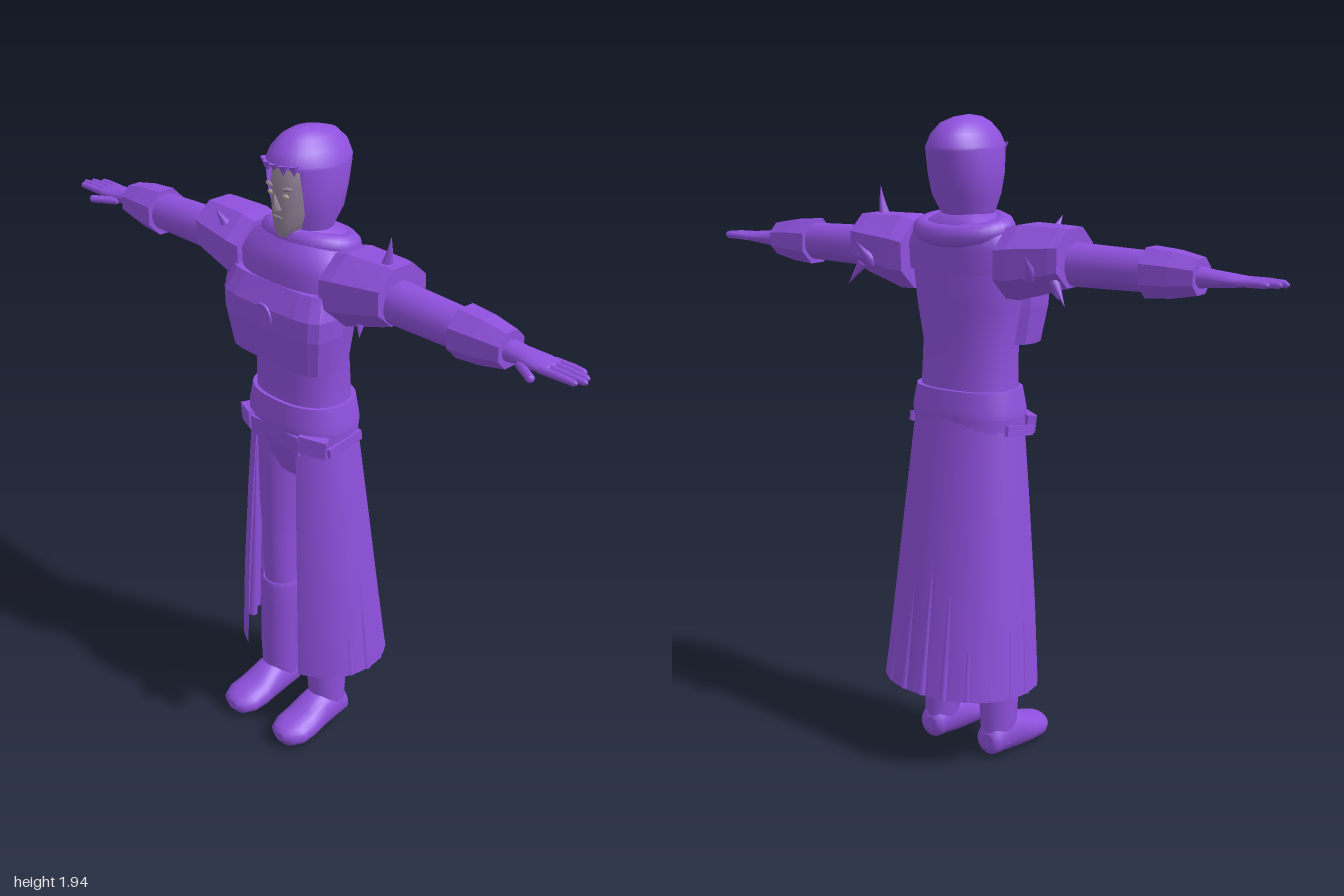
import * as THREE from 'three';

const mat = (name, color, side = THREE.DoubleSide) => {
  const m = new THREE.MeshStandardMaterial({ color, side });
  m.name = name;
  return m;
};

// Loft of oval sections [y, rx, rz, cx, cz, frontGapHalfWidth] stacked along y.
function loft(sections, { n = 24, power = 1, flat = false, caps = true, turn = 0, pleat = 0 } = {}) {
  const pos = [], idx = [];
  const bend = v => Math.sign(v) * Math.abs(v) ** power;
  const ring = ([y, rx, rz, cx = 0, cz = 0, gap = 0], k) => {
    const g = gap ? Math.asin(Math.min(1, gap / rx)) : 0;
    for (let j = 0; j <= n; j++) {
      const a = Math.PI / 2 + g + turn + (j / n) * (Math.PI * 2 - 2 * g);
      const s = 1 + pleat * k * Math.cos(a * 18);
      pos.push(cx + rx * s * bend(Math.cos(a)), y, cz + rz * s * bend(Math.sin(a)));
    }
  };
  const last = sections.length - 1;
  sections.forEach((s, i) => ring(s, i / last));
  for (let i = 0; i < last; i++) for (let j = 0; j < n; j++) {
    const a = i * (n + 1) + j, b = a + 1, c = a + n + 1, d = c + 1;
    idx.push(a, c, b, b, c, d);
  }
  if (caps) for (const i of [0, last]) {
    const start = pos.length / 3, s = sections[i];
    ring(s, i / last);
    pos.push(s[3] || 0, s[0], s[4] || 0);
    for (let j = 0; j < n; j++) {
      if (i) idx.push(start + j, start + n + 1, start + j + 1);
      else idx.push(start + j, start + j + 1, start + n + 1);
    }
  }
  let g = new THREE.BufferGeometry();
  g.setAttribute('position', new THREE.Float32BufferAttribute(pos, 3));
  g.setIndex(idx);
  if (flat) {
    g = g.toNonIndexed();
    g.setIndex([...Array(g.attributes.position.count).keys()]);
  }
  g.computeVertexNormals();
  // Blend the normals across the seam of closed smooth rings.
  if (!flat) {
    const N = g.attributes.normal;
    sections.forEach((s, i) => {
      if (s[5]) return;
      const a = i * (n + 1), b = a + n;
      const v = new THREE.Vector3().fromBufferAttribute(N, a).add(new THREE.Vector3().fromBufferAttribute(N, b)).normalize();
      N.setXYZ(a, v.x, v.y, v.z);
      N.setXYZ(b, v.x, v.y, v.z);
    });
  }
  return g;
}

// Lofts along x [x, ry, rz, cy, cz] and along z [z, rx, ry, cx, cy].
const loftX = (s, o) => loft(s.map(([x, ry, rz, cy, cz]) => [x, ry, rz, -cy, cz]), o).rotateZ(-Math.PI / 2);
const loftZ = (s, o) => loft(s.map(([z, rx, ry, cx, cy]) => [z, rx, ry, cx, -cy]), o).rotateX(Math.PI / 2);

// Curved horn from base to tip.
function spike(base, tip, r, curve = 0) {
  const a = new THREE.Vector3(...base), d = new THREE.Vector3(...tip).sub(a), h = d.length();
  const g = new THREE.ConeGeometry(r, h, 8, 5).translate(0, h / 2, 0);
  const p = g.attributes.position;
  for (let i = 0; i < p.count; i++) {
    const t = p.getY(i) / h;
    p.setX(i, p.getX(i) + curve * t * (1 - t));
  }
  g.computeVertexNormals();
  g.applyQuaternion(new THREE.Quaternion().setFromUnitVectors(new THREE.Vector3(0, 1, 0), d.normalize()));
  return g.translate(a.x, a.y, a.z);
}

function mirrored(geo) {
  const g = geo.clone().scale(-1, 1, 1), i = g.index.array;
  for (let k = 0; k < i.length; k += 3) [i[k], i[k + 1]] = [i[k + 1], i[k]];
  return g;
}

export function createModel() {
  const model = new THREE.Group();
  const purple = mat('purple cloth and armour', 0x8e50dc);
  const skin = mat('grey skin', 0x8f8094);
  const eyeMat = mat('pale eyes', 0xb0a296);
  const add = (name, geo, m = purple) => {
    const mesh = new THREE.Mesh(geo, m);
    mesh.name = name;
    model.add(mesh);
  };
  const pair = (name, geo, m) => {
    add('left' + name, geo, m);
    add('right' + name, mirrored(geo), m);
  };

  // Torso, chest armour and mantle
  add('torso', loft([[1.06, .16, .115, 0, .015], [1.16, .152, .108, 0, .015], [1.29, .15, .103, 0, .02],
    [1.4, .17, .108, 0, .018], [1.5, .185, .112, 0, .02], [1.58, .18, .1, 0, .015], [1.64, .1, .08]], { n: 32, power: .85 }));
  add('chestPlate', loft([[1.29, .182, .068, 0, .088], [1.4, .2, .078, 0, .096], [1.46, .203, .078, 0, .096],
    [1.525, .185, .055, 0, .085]], { n: 16, power: .55, flat: true }));
  add('medallion', new THREE.CylinderGeometry(.037, .037, .008, 24).rotateX(Math.PI / 2).translate(0, 1.435, .175));
  add('mantle', loft([[1.5, .2, .118, 0, .02], [1.57, .205, .12, 0, .018], [1.615, .175, .11, 0, .01],
    [1.65, .11, .09, 0, 0], [1.67, .075, .07, 0, .01]], { n: 32, power: .85 }));
  add('cowlRoll', new THREE.TorusGeometry(.105, .032, 10, 32).rotateX(Math.PI / 2).scale(1.2, 1, .85)
    .rotateX(-.2).translate(0, 1.625, -.015));
  add('collar', new THREE.TorusGeometry(.055, .014, 8, 24).rotateX(Math.PI / 2).translate(0, 1.66, .03));

  // Head and face
  add('face', loft([[1.65, .02, .025, 0, .08], [1.672, .042, .048, 0, .065], [1.7, .056, .064, 0, .05],
    [1.74, .066, .075, 0, .04], [1.8, .07, .08, 0, .035], [1.86, .066, .07, 0, .03], [1.9, .035, .04, 0, .02]]), skin);
  add('neck', new THREE.CylinderGeometry(.045, .05, .1, 16).translate(0, 1.65, .02), skin);
  add('nose', new THREE.ConeGeometry(.016, .05, 4).rotateX(.25).translate(0, 1.755, .118), skin);
  add('mouth', new THREE.SphereGeometry(1, 12, 6).scale(.02, .006, .006).translate(0, 1.708, .112), skin);
  pair('Brow', new THREE.SphereGeometry(1, 12, 6).scale(.022, .006, .01).rotateZ(.15).translate(.03, 1.792, .106), skin);
  pair('Eye', new THREE.SphereGeometry(1, 12, 8).scale(.012, .007, .006).translate(.029, 1.772, .109), eyeMat);

  // Hood, open around the face, with a ragged brow
  add('hood', loft([[1.63, .075, .07, 0, 0, .03], [1.67, .082, .075, 0, .005, .045], [1.72, .1, .1, 0, -.002, .066],
    [1.78, .108, .115, 0, -.003, .07], [1.845, .104, .132, 0, -.006, .068], [1.855, .102, .135, 0, -.005],
    [1.89, .085, .122, 0, -.006], [1.92, .06, .092, 0, -.005], [1.936, .032, .05, 0, .005], [1.942, .002, .003, 0, .01]],
  { n: 40, caps: false }));
  for (const x of [-.055, -.03, 0, .03, .055]) {
    const z = -.004 + .132 * Math.sqrt(1 - (x / .102) ** 2);
    add('hoodPoint', spike([x, 1.862, z - .004], [x * 1.05, x ? 1.832 : 1.842, z - .004], .015));
  }

  // Belts, pouches and open-fronted skirt
  add('belt', loft([[1.08, .178, .127, 0, .014], [1.1, .177, .128, 0, .014], [1.16, .165, .12, 0, .014]], { n: 32, power: .85 }));
  add('lowerBelt', loft([[1.035, .174, .124, 0, .012], [1.085, .176, .125, 0, .012]], { n: 32, power: .85 }));
  pair('Pouch', new THREE.BoxGeometry(.085, .055, .03).rotateY(.45).rotateZ(-.12).translate(.135, 1.05, .107));
  pair('HipStrap', new THREE.BoxGeometry(.012, .03, .13).rotateX(.15).translate(.176, 1.04, .02));
  add('frontFlap', new THREE.ExtrudeGeometry(new THREE.Shape([[-.1, 1.07], [-.1, 1.01], [0, 1.04], [.1, 1.01], [.1, 1.07]]
    .map(p => new THREE.Vector2(...p))), { depth: .01, bevelEnabled: false }).translate(0, 0, .125));
  add('skirt', loft([[1.08, .172, .124, 0, .012, .07], [1, .18, .132, 0, .01, .08], [.8, .198, .152, 0, .002, .09],
    [.5, .224, .178, 0, -.012, .102], [.25, .243, .198, 0, -.028, .108]].reverse(), { n: 144, caps: false, power: .92 }));
  // Raised hem folds around the skirt
  for (let i = 0; i < 13; i++) {
    const a = Math.PI * (.9 + i * 1.2 / 12), c = Math.cos(a), s = Math.sin(a);
    add('skirtFold', spike([.236 * c, .25, -.028 + .193 * s], [.182 * c, .95, .008 + .13 * s], .014));
  }
  add('pelvis', loft([[.9, .12, .07, 0, .01], [.96, .145, .095, 0, .012], [1.07, .155, .11, 0, .014]]));

  // Legs and boots
  pair('Leg', loft([[.42, .058, .06, .088, .02], [.6, .058, .064, .093, .02], [.75, .068, .075, .09, .018],
    [.9, .078, .085, .082, .015], [1, .08, .09, .08, .012]]));
  pair('Boot', loft([[.05, .05, .055, .11, .015], [.12, .055, .06, .108, .02], [.22, .062, .064, .106, .02],
    [.34, .067, .07, .097, .018], [.45, .064, .07, .09, .02], [.465, .06, .066, .09, .02]]));
  pair('Foot', loftZ([[-.042, .022, .022, .11, .06], [-.033, .044, .045, .11, .062], [.01, .054, .066, .11, .078],
    [.07, .06, .068, .11, .072], [.13, .067, .05, .111, .053], [.18, .067, .042, .112, .046],
    [.215, .05, .033, .112, .044], [.23, .02, .015, .112, .044]]));

  // Arms with faceted pauldrons and bracers
  const armour = { n: 8, flat: true, turn: Math.PI / 8 };
  pair('UpperArm', loftX([[.15, .07, .07, 1.54, .015], [.36, .062, .062, 1.542, .015], [.62, .056, .056, 1.54, .02]]));
  pair('Pauldron', loftX([[.165, .108, .118, 1.535, .008], [.21, .115, .122, 1.54, .008],
    [.34, .094, .106, 1.558, .005], [.368, .088, .1, 1.562, .005]], armour));
  pair('Bracer', loftX([[.6, .074, .074, 1.54, .02], [.68, .068, .066, 1.54, .02], [.755, .053, .054, 1.54, .02]], armour));
  pair('Palm', loftX([[.73, .032, .036, 1.538, .02], [.79, .024, .034, 1.537, .02], [.84, .019, .042, 1.537, .02],
    [.885, .014, .042, 1.537, .02], [.895, .006, .036, 1.537, .02]]));
  [.965, .99, 1, .985].forEach((tip, i) => {
    const z = -.012 + i * .0215;
    pair('Finger', loftX([[.87, .011, .011, 1.537, z], [.93, .0105, .0105, 1.538, z], [tip - .008, .009, .009, 1.537, z],
      [tip, .003, .003, 1.537, z]], { n: 10 }));
  });
  const thumb = new THREE.CapsuleGeometry(.012, .075, 4, 10);
  thumb.rotateZ(-Math.PI / 2).rotateY(-.55).translate(.842, 1.527, .072);
  pair('Thumb', thumb);

  // Pauldron horns: a tall one on the left, shorter ones elsewhere
  add('leftTopSpike', spike([.32, 1.63, .02], [.342, 1.725, .025], .018, .015));
  add('rightFrontSpike', spike([-.245, 1.62, .09], [-.255, 1.665, .115], .014));
  pair('BackSpike', spike([.28, 1.51, -.085], [.3, 1.575, -.142], .02, .02));
  pair('LowerSpike', spike([.345, 1.5, -.06], [.39, 1.435, -.075], .016));
  pair('UnderSpike', spike([.26, 1.47, .05], [.275, 1.425, .07], .016));
  return model;
}
